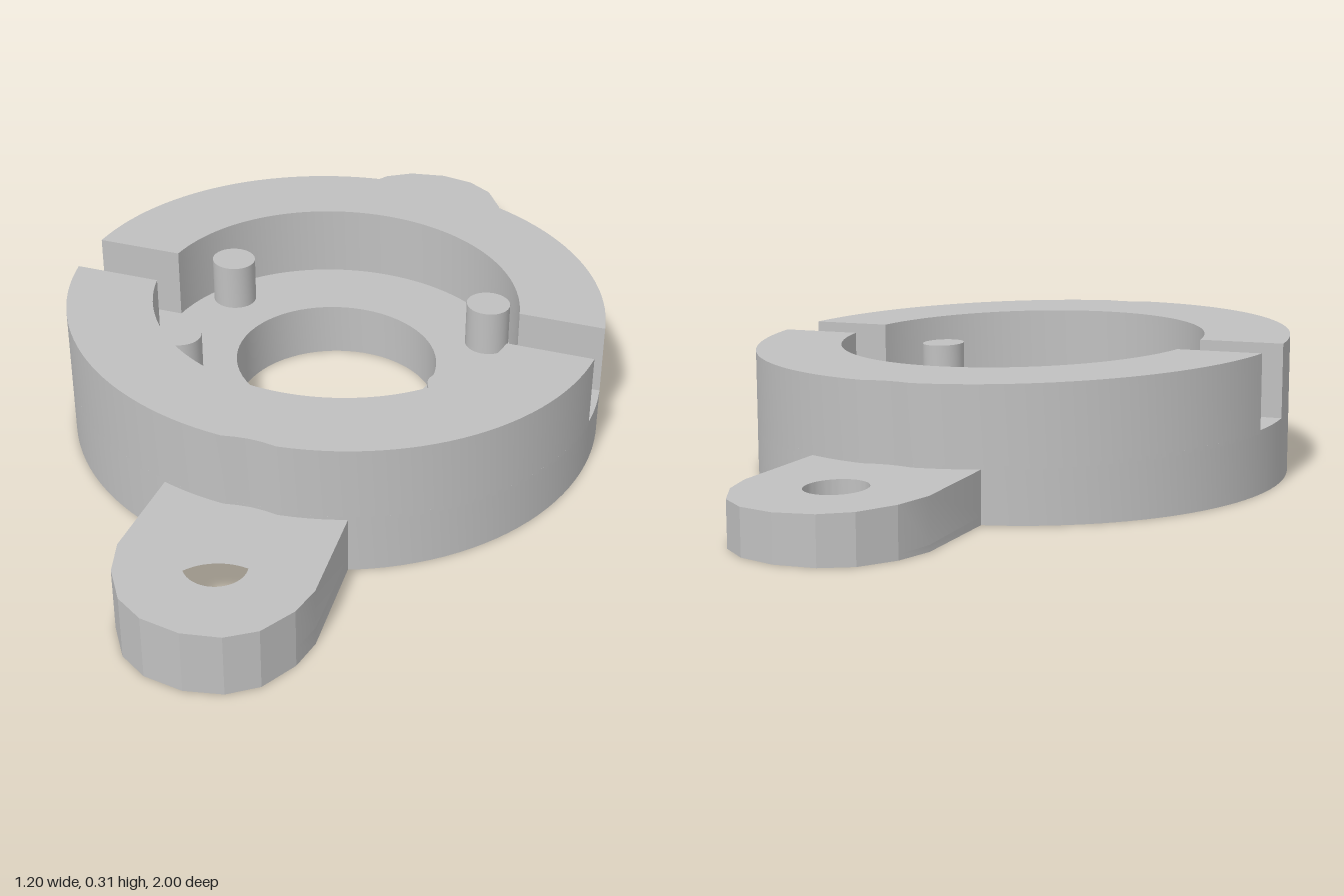
import * as THREE from 'three';
import { toCreasedNormals } from 'three/addons/utils/BufferGeometryUtils.js';

const EAR_HOLE_Z = 0.79, CLEARANCE = 0.2, RADIUS = 0.6, BORE = 0.228;

// Upper surfaces all share one slight slope; the underside is flat.
const sloped = (height) => (x, z) => height - 0.022 * x + 0.023 * z;
const flat = () => 0;

export function createModel() {
  const group = new THREE.Group();
  const grey = new THREE.MeshStandardMaterial({ color: 0xc0c0c0 });
  grey.name = 'grey';

  // Extrude an outline upward between two surfaces y = f(x, z).
  function slab(name, points, hole, bottom, top, crease = 0.5) {
    const shape = new THREE.Shape(points);
    if (hole) {
      const path = new THREE.Path();
      path.absarc(hole.x, hole.y, hole.r, 0, Math.PI * 2, true);
      shape.holes.push(path);
    }
    const geometry = new THREE.ExtrudeGeometry(shape, { depth: 1, bevelEnabled: false, curveSegments: 32 });
    geometry.rotateX(-Math.PI / 2);
    const p = geometry.attributes.position;
    for (let i = 0; i < p.count; i++) {
      const surface = p.getY(i) > 0.5 ? top : bottom;
      p.setY(i, surface(p.getX(i), p.getZ(i)));
    }
    const mesh = new THREE.Mesh(toCreasedNormals(geometry, crease), grey);
    mesh.name = name;
    group.add(mesh);
  }

  // Outer rim point, scooped slightly around each ear's screw.
  function rim(a) {
    const x = RADIUS * Math.cos(a);
    let y = RADIUS * Math.sin(a);
    if (Math.abs(x) < 0.11) {
      const scoop = EAR_HOLE_Z - Math.sqrt(CLEARANCE ** 2 - x * x);
      y = Math.sign(y) * Math.min(Math.abs(y), scoop);
    }
    return new THREE.Vector2(x, y);
  }

  // Base disc with central bore
  const disc = [];
  for (let i = 0; i < 120; i++) disc.push(rim((i / 120) * Math.PI * 2));
  slab('base', disc, { x: 0, y: 0, r: BORE }, flat, sloped(0.128));

  // Two raised wall halves separated by the slot
  const half = 0.066, inner = 0.41;
  for (const s of [1, -1]) {
    const wall = [];
    const outerStart = Math.asin(half / RADIUS), innerStart = Math.asin(half / inner);
    for (let i = 0; i <= 60; i++) {
      wall.push(rim(outerStart + (i / 60) * (Math.PI - 2 * outerStart)));
    }
    for (let i = 60; i >= 0; i--) {
      const a = innerStart + (i / 60) * (Math.PI - 2 * innerStart);
      wall.push(new THREE.Vector2(inner * Math.cos(a), inner * Math.sin(a)));
    }
    wall.forEach((v) => v.multiplyScalar(s));
    slab(s > 0 ? 'backWall' : 'frontWall', wall, null, sloped(0.12), sloped(0.2915));
  }

  // Mounting ears, each with a screw hole and a counterbore underneath
  const earOutline = [
    [0.197, 0.55], [0.202, 0.8], [0.185, 0.87], [0.14, 0.945], [0.08, 0.985], [0, 0.999],
    [-0.085, 0.983], [-0.145, 0.943], [-0.19, 0.87], [-0.21, 0.79], [-0.197, 0.55],
  ];
  for (const s of [1, -1]) {
    const side = s > 0 ? 'back' : 'front';
    const points = earOutline.map(([x, y]) => new THREE.Vector2(x, s * y));
    const hole = (r) => ({ x: -0.005, y: s * EAR_HOLE_Z, r });
    slab(side + 'EarLower', points, hole(0.122), flat, sloped(0.027), 0.3);
    slab(side + 'EarUpper', points, hole(0.065), sloped(0.027), sloped(0.121), 0.3);
  }

  // Locating pegs on the recessed floor
  for (const x of [-0.31, 0.31]) {
    for (const y of [-0.18, 0.18]) {
      const peg = [];
      for (let i = 0; i < 32; i++) {
        const a = (i / 32) * Math.PI * 2;
        peg.push(new THREE.Vector2(x + 0.05 * Math.cos(a), y + 0.05 * Math.sin(a)));
      }
      slab('peg', peg, null, sloped(0.12), sloped(0.235));
    }
  }

  group.position.z = -0.004;
  return group;
}
